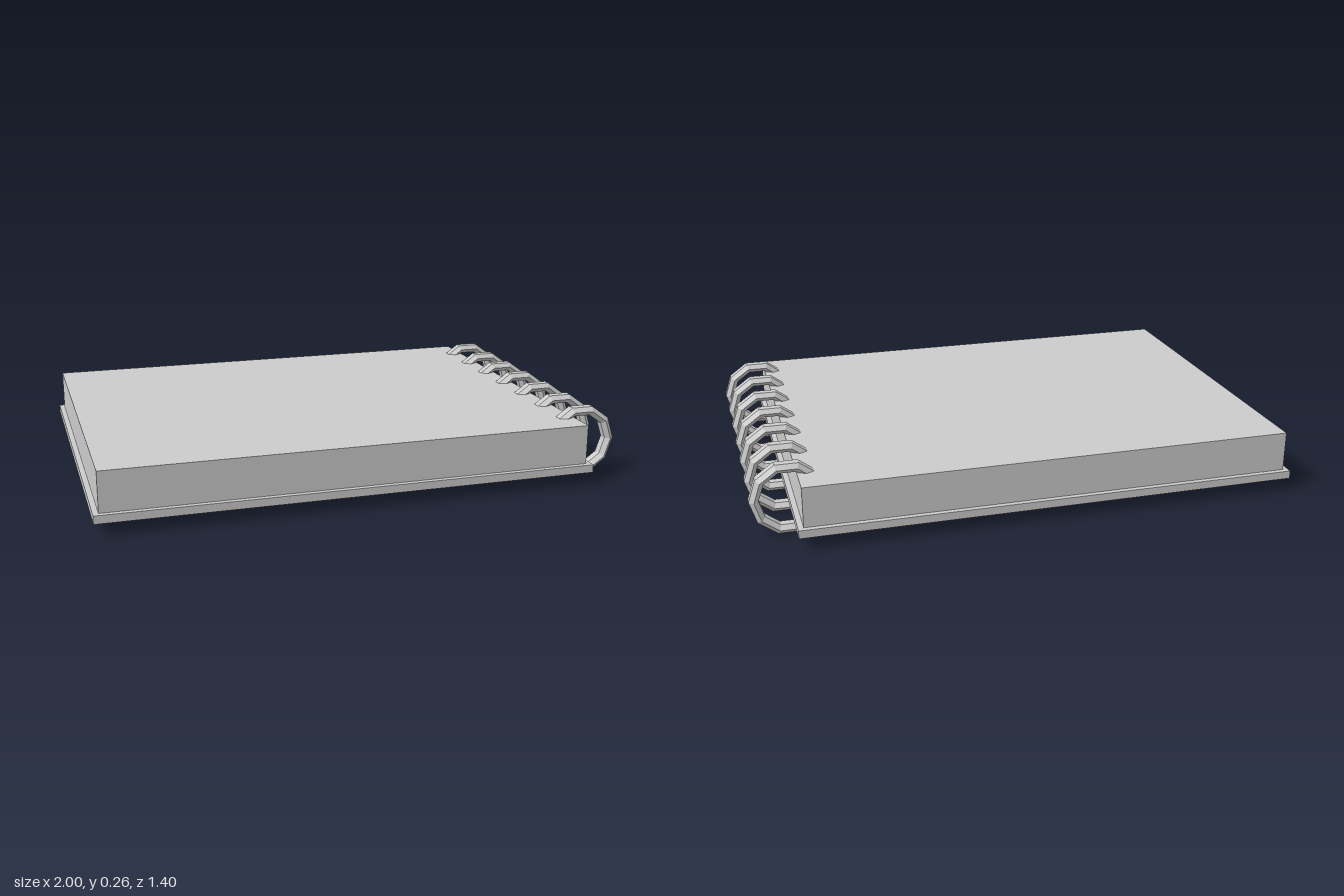
import * as THREE from 'three';

export function createModel() {
  const notebook = new THREE.Group();
  notebook.name = 'notebook';
  const material = new THREE.MeshStandardMaterial({ color: 0xcccccc, flatShading: true });

  // Box given by its minimum and maximum corners
  function addBox(name, [x0, y0, z0], [x1, y1, z1]) {
    const mesh = new THREE.Mesh(new THREE.BoxGeometry(x1 - x0, y1 - y0, z1 - z0), material);
    mesh.position.set((x0 + x1) / 2, (y0 + y1) / 2, (z0 + z1) / 2);
    mesh.name = name;
    notebook.add(mesh);
  }

  // Back cover and the block of pages lying on it
  addBox('backCover', [-1, 0.045, -0.7], [0.85, 0.075, 0.7]);
  addBox('pages', [-0.98, 0.075, -0.68], [0.83, 0.224, 0.68]);

  // Ring: a flattened hexagonal wire swept around ten sides, flat side outward
  const wire = [];
  for (let i = 0; i <= 6; i++) {
    const a = Math.PI / 6 + (i * Math.PI) / 3;
    wire.push(new THREE.Vector2(0.12 + 0.02 * Math.cos(a), 0.03 * Math.sin(a)));
  }
  const ringGeometry = new THREE.LatheGeometry(wire, 10);
  ringGeometry.rotateX(Math.PI / 2).rotateZ(Math.PI / 2);

  // Row of binding rings along the spine
  const rings = new THREE.Group();
  rings.name = 'bindingRings';
  for (let i = -3; i <= 3; i++) {
    const ring = new THREE.Mesh(ringGeometry, material);
    ring.name = 'bindingRing';
    ring.position.set(0.863, 0.131, 0.009 + i * 0.182);
    rings.add(ring);
  }
  notebook.add(rings);

  return notebook;
}
